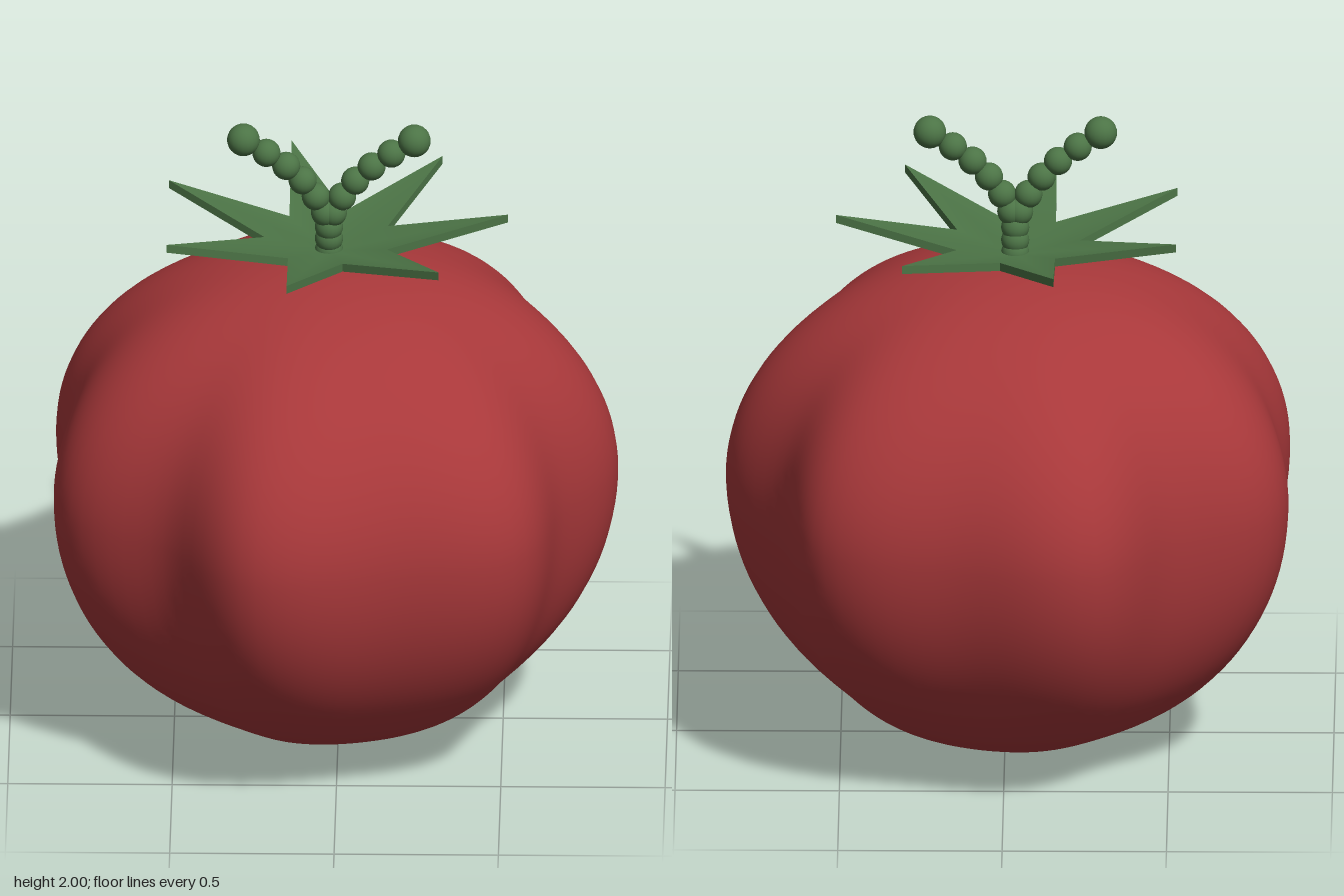
import * as THREE from 'three';
import { mergeVertices, toCreasedNormals } from 'three/addons/utils/BufferGeometryUtils.js';

const LOBES = 7;
const STEP = Math.PI / LOBES;
// Radius at alternating lobe peaks and valleys, from +x round to -x
const RIM = [0.88, 0.8, 0.92, 0.865, 0.938, 0.8, 0.895, 0.807];

function rimRadius(angle) {
  const t = Math.abs(angle) / STEP;
  const i = Math.min(Math.floor(t), LOBES - 1);
  const blend = (1 - Math.cos((t - i) * Math.PI)) / 2;
  return THREE.MathUtils.lerp(RIM[i], RIM[i + 1], blend);
}

// Lobed fruit: two half ellipsoids whose lobes fade out at the poles
function fruitGeometry() {
  const geo = new THREE.SphereGeometry(1, 112, 64);
  const p = geo.attributes.position;
  for (let i = 0; i < p.count; i++) {
    const x = p.getX(i), y = p.getY(i), z = p.getZ(i);
    const s = Math.hypot(x, z);
    const r = THREE.MathUtils.lerp(0.88, rimRadius(Math.atan2(z, x)), s * s);
    p.setXYZ(i, x * r, 0.85 + y * (y > 0 ? 0.695 : 0.845), z * r);
  }
  geo.deleteAttribute('uv');
  geo.deleteAttribute('normal');
  const merged = mergeVertices(geo, 1e-4);
  merged.computeVertexNormals();
  return merged;
}

// Seven-pointed leaf star, rising from the centre to the tips
function calyxGeometry() {
  const pos = [];
  const point = (k, drop) => {
    const r = k % 2 ? 0.197 : 0.545;
    return [r * Math.cos(k * STEP), 1.565 + r * 0.23 - drop, -r * Math.sin(k * STEP)];
  };
  const thick = 0.026;
  const top = [0, 1.565, 0], bottom = [0, 1.565 - thick, 0];
  for (let k = 0; k < LOBES * 2; k++) {
    const a = point(k, 0), b = point(k + 1, 0);
    const c = point(k, thick), d = point(k + 1, thick);
    pos.push(...top, ...a, ...b, ...bottom, ...d, ...c);
    pos.push(...a, ...c, ...d, ...a, ...d, ...b);
  }
  const geo = new THREE.BufferGeometry();
  geo.setAttribute('position', new THREE.Float32BufferAttribute(pos, 3));
  return toCreasedNormals(geo, 0.6);
}

export function createModel() {
  const red = new THREE.MeshStandardMaterial({ color: 0xa8383a });
  red.name = 'tomato red';
  const green = new THREE.MeshStandardMaterial({ color: 0x4c7446 });
  green.name = 'leaf green';

  const model = new THREE.Group();
  model.name = 'tomato';
  const add = (parent, name, geo, mat) => {
    const mesh = new THREE.Mesh(geo, mat);
    mesh.name = name;
    parent.add(mesh);
    return mesh;
  };

  add(model, 'fruit', fruitGeometry(), red);
  add(model, 'calyx', calyxGeometry(), green);

  // Forked stem made of overlapping beads
  const stem = new THREE.Group();
  stem.name = 'stem';
  model.add(stem);
  const bead = new THREE.SphereGeometry(1, 20, 14);
  const addBead = (name, x, y, z, r) => {
    const mesh = add(stem, name, bead, green);
    mesh.position.set(x, y, z);
    mesh.scale.setScalar(r);
  };
  [1.57, 1.61, 1.65].forEach((y, i) => addBead('trunkBead', 0, y, i * 0.004, 0.043));
  const branch = [[0.012, 1.70], [0.04, 1.755], [0.08, 1.81], [0.13, 1.86], [0.19, 1.905], [0.26, 1.95]];
  for (const side of [-1, 1]) {
    branch.forEach(([x, y], i) => {
      const r = i === branch.length - 1 ? 0.05 : 0.043;
      addBead(side > 0 ? 'leftBranchBead' : 'rightBranchBead', side * x, y, 0.012 + i * 0.004, r);
    });
  }

  model.children.forEach((part) => { part.position.x = -0.03; });
  return model;
}
